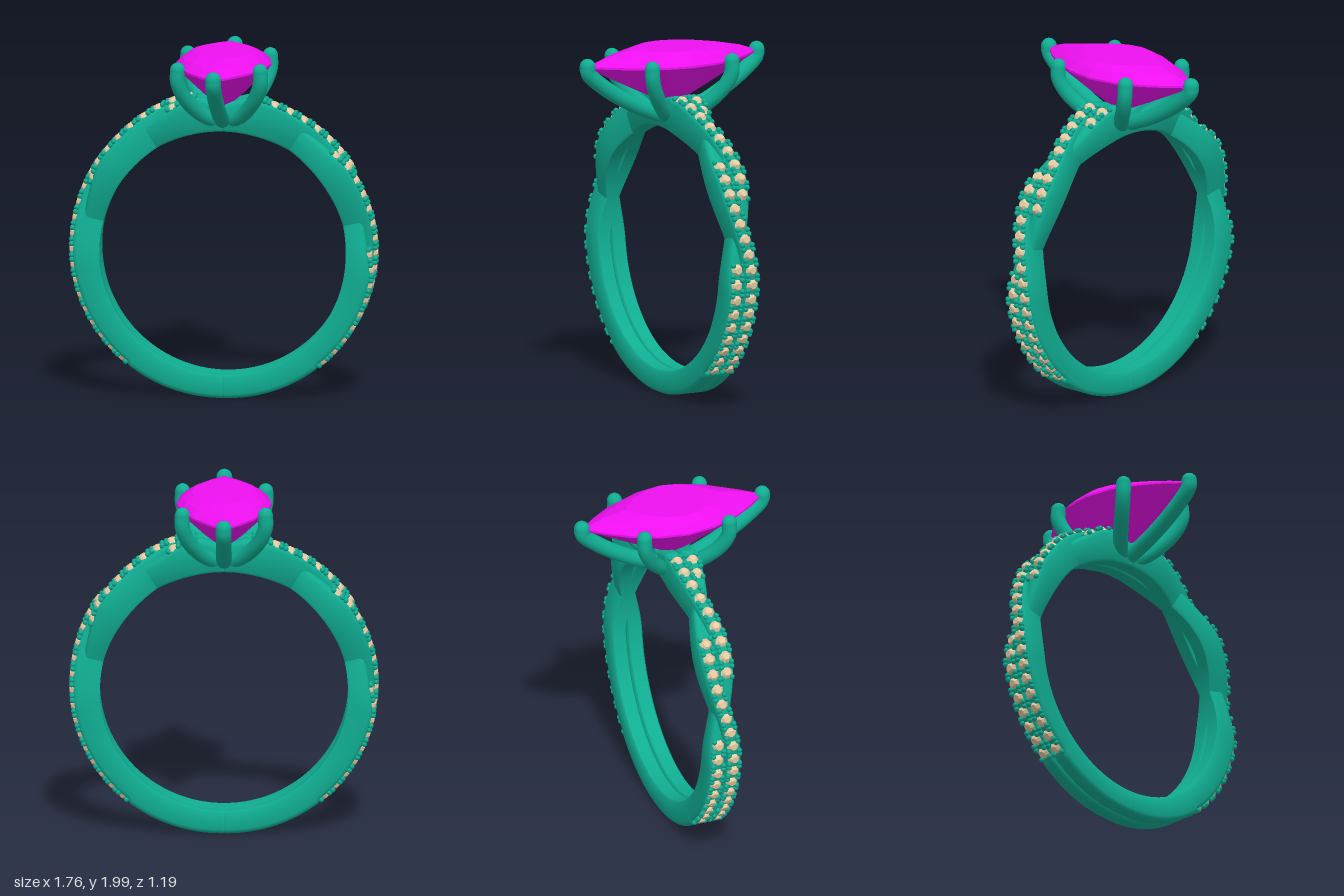
import * as THREE from 'three';
import { mergeGeometries, toCreasedNormals } from 'three/addons/utils/BufferGeometryUtils.js';

const CY = 0.845, INNER = 0.702, DEG = Math.PI / 180;
const metal = new THREE.MeshStandardMaterial({ color: 0x10ad92 });
const gemMat = new THREE.MeshStandardMaterial({ color: 0xee10f0, flatShading: true });
const stoneMat = new THREE.MeshStandardMaterial({ color: 0xe6cca4, flatShading: true });

// Skin a list of closed cross-sections (rows of Vector3)
function skin(rows) {
  const n = rows[0].length, index = [];
  for (let i = 0; i < rows.length - 1; i++) {
    for (let j = 0; j < n; j++) {
      const a = i * n + j, b = i * n + (j + 1) % n;
      index.push(a, a + n, b, b, a + n, b + n);
    }
  }
  const g = new THREE.BufferGeometry().setFromPoints(rows.flat());
  g.setIndex(index);
  return g;
}

function add(group, name, geometry, material) {
  const mesh = new THREE.Mesh(geometry, material);
  mesh.name = name;
  group.add(mesh);
  return mesh;
}

// Outer radius of the shank by angle (degrees, -90 bottom to 90 top)
const RADII = [[-90, 0.835], [-50, 0.848], [0, 0.868], [45, 0.89], [75, 0.918], [82, 0.90], [90, 0.85]];
function outerRadius(t) {
  let k = 0;
  while (k < RADII.length - 2 && t > RADII[k + 1][0]) k++;
  const [a, ra] = RADII[k], [b, rb] = RADII[k + 1];
  return ra + (rb - ra) * (t - a) / (b - a);
}

// Twist of a strand: sideways offset and how far it dips under its twin
function strandAt(t, side) {
  const phase = THREE.MathUtils.clamp((t + 8.5) / 44, 0, 2) * Math.PI;
  const lift = side * Math.sin(phase);
  return { z: -side * 0.048 * Math.cos(phase), lift, r: outerRadius(t) + Math.min(lift, 0) * 0.045 };
}

const polar = (t, r, z) => new THREE.Vector3(r * Math.cos(t * DEG), CY + r * Math.sin(t * DEG), z);

function strandGeometry(side) {
  const w = 0.047, rows = [];
  for (let i = 0; i <= 120; i++) {
    const t = -90 + i * 1.5, s = strandAt(t, side);
    const R = s.r - (t > -50 && t < 80 ? 0.012 : 0);
    const half = [[w * 0.8, INNER], [w, INNER + 0.012], [w, R - 0.025], [w * 0.88, R - 0.01], [w * 0.6, R]];
    const loop = [...half.map(([u, r]) => [-u, r]), ...half.slice().reverse()];
    rows.push(loop.map(([u, r]) => polar(t, r, s.z + u)));
  }
  return toCreasedNormals(skin(rows), 0.7);
}

// Small stones along a strand with a pair of beads between neighbours
function pave(side, stones, beads) {
  const visible = t => strandAt(t, side).lift > -0.65;
  for (let t = -47; t < 79; t += 5.9) {
    const s = strandAt(t, side);
    if (!visible(t)) continue;
    const c = polar(t, s.r - 0.006, s.z);
    stones.push(new THREE.CylinderGeometry(0.02, 0.038, 0.024, 8)
      .rotateY(Math.PI / 8).rotateZ((t - 90) * DEG).translate(c.x, c.y, c.z));
    for (const dt of [-2.1, 2.1]) {
      const b = strandAt(t + dt, side);
      for (const u of [-0.031, 0.031]) {
        const p = polar(t + dt, b.r - 0.006, b.z + u);
        beads.push(new THREE.SphereGeometry(0.0155, 8, 6).translate(p.x, p.y, p.z));
      }
    }
  }
}

function halfShank() {
  const half = new THREE.Group(), stones = [], beads = [];
  for (const side of [1, -1]) {
    add(half, 'twistedStrand', strandGeometry(side), metal);
    pave(side, stones, beads);
  }
  add(half, 'paveStones', mergeGeometries(stones), stoneMat);
  add(half, 'paveBeads', mergeGeometries(beads), metal);
  return half;
}

// Pointed oval stone, from culet up to table
function marquise() {
  const N = 20;
  const levels = [[0, 0, 1.66], [0.45, 0.42, 1.765], [0.82, 0.8, 1.865], [1, 1, 1.918],
    [1, 1, 1.93], [0.86, 0.8, 1.968], [0.68, 0.52, 2.0], [0, 0, 2.0]];
  const rows = levels.map(([sx, sz, y]) => Array.from({ length: N }, (_, j) => {
    const a = j / N * Math.PI * 2, c = Math.cos(a);
    return new THREE.Vector3(0.27 * sx * c * Math.abs(c), y, 0.545 * sz * Math.sin(a));
  }));
  const g = skin(rows).toNonIndexed();
  g.computeVertexNormals();
  return g;
}

// Curved claw with rounded tip
function prong(points, r) {
  const path = new THREE.CatmullRomCurve3(points.map(p => new THREE.Vector3(...p)));
  const ends = [points[0], points[points.length - 1]].map(p =>
    new THREE.SphereGeometry(r, 16, 12).translate(...p));
  return mergeGeometries([new THREE.TubeGeometry(path, 28, r, 14), ...ends]);
}

export function createModel() {
  const ring = new THREE.Group();
  ring.name = 'ring';

  // Shank: the second half is the first turned half way round
  const right = halfShank();
  right.name = 'shankHalf';
  const left = right.clone();
  left.rotation.y = Math.PI;
  ring.add(right, left);

  add(ring, 'centreStone', marquise(), gemMat);

  // Six claws: one at each point, two along each flank
  for (const sz of [1, -1]) {
    add(ring, 'endProng', prong([[0, 1.932, 0.548 * sz], [0, 1.895, 0.545 * sz], [0, 1.80, 0.44 * sz],
      [0, 1.685, 0.25 * sz], [0, 1.6, 0.05 * sz]], 0.045), metal);
    for (const sx of [1, -1]) {
      add(ring, 'sideProng', prong([[0.235 * sx, 1.93, 0.258 * sz], [0.236 * sx, 1.86, 0.255 * sz],
        [0.2 * sx, 1.76, 0.21 * sz], [0.12 * sx, 1.655, 0.12 * sz], [0.04 * sx, 1.6, 0.05 * sz]], 0.043), metal);
    }
  }
  return ring;
}
